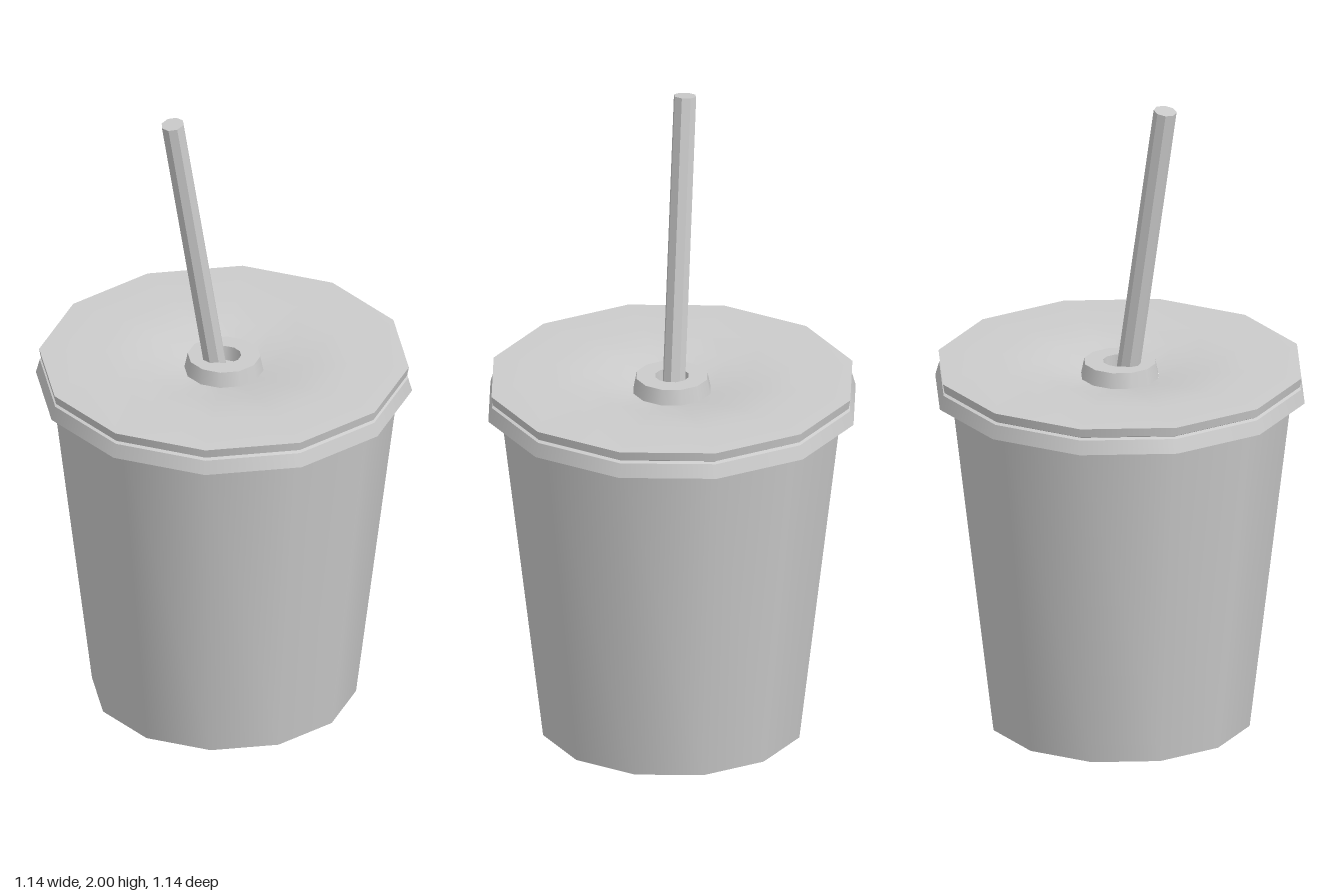
import * as THREE from 'three';
import { mergeGeometries } from 'three/addons/utils/BufferGeometryUtils.js';

const SIDES = 12;
const grey = new THREE.MeshStandardMaterial({ color: 0xcccccc });
const greyFlat = new THREE.MeshStandardMaterial({ color: 0xcccccc, flatShading: true });

// Turned part made of bands: smooth within a band, sharp between bands.
// Each band is a list of [radius, y], running up the outside and in over the top.
function turned(name, bands) {
  const parts = bands.map((band) =>
    new THREE.LatheGeometry(band.map(([r, y]) => new THREE.Vector2(r, y)), SIDES));
  const mesh = new THREE.Mesh(mergeGeometries(parts), grey);
  mesh.name = name;
  return mesh;
}

// Splits a profile into one sharp-edged band per segment.
const sharp = (points) => points.slice(1).map((p, i) => [points[i], p]);

export function createModel() {
  const model = new THREE.Group();
  model.name = 'drinkCup';

  // Tapered cup with a closed base
  model.add(turned('cup', sharp([[0, 0], [0.4, 0], [0.53, 1.08]])));

  // Lid edge: flared skirt, narrow groove, upper rim
  model.add(turned('lidRim', sharp([
    [0.52, 1.055], [0.57, 1.055], [0.558, 1.098], [0.545, 1.102],
    [0.555, 1.107], [0.56, 1.135],
  ])));

  // Lid top: slight swell that dips towards the middle
  model.add(turned('lidTop', [
    [[0.56, 1.135], [0.37, 1.138], [0.24, 1.125], [0.12, 1.1]],
  ]));

  // Raised collar with the straw hole
  model.add(turned('strawCollar', sharp([
    [0.12, 1.098], [0.11, 1.147], [0.052, 1.147], [0.05, 1.1], [0, 1.1],
  ])));

  // Leaning faceted straw
  const bottom = new THREE.Vector3(-0.025, 1.09, 0.002);
  const top = new THREE.Vector3(-0.175, 1.995, 0.01);
  const axis = top.clone().sub(bottom);
  const straw = new THREE.Mesh(
    new THREE.CylinderGeometry(0.035, 0.035, axis.length(), 8), greyFlat);
  straw.name = 'straw';
  straw.position.copy(bottom).add(top).multiplyScalar(0.5);
  straw.quaternion.setFromUnitVectors(new THREE.Vector3(0, 1, 0), axis.normalize());
  model.add(straw);

  return model;
}
